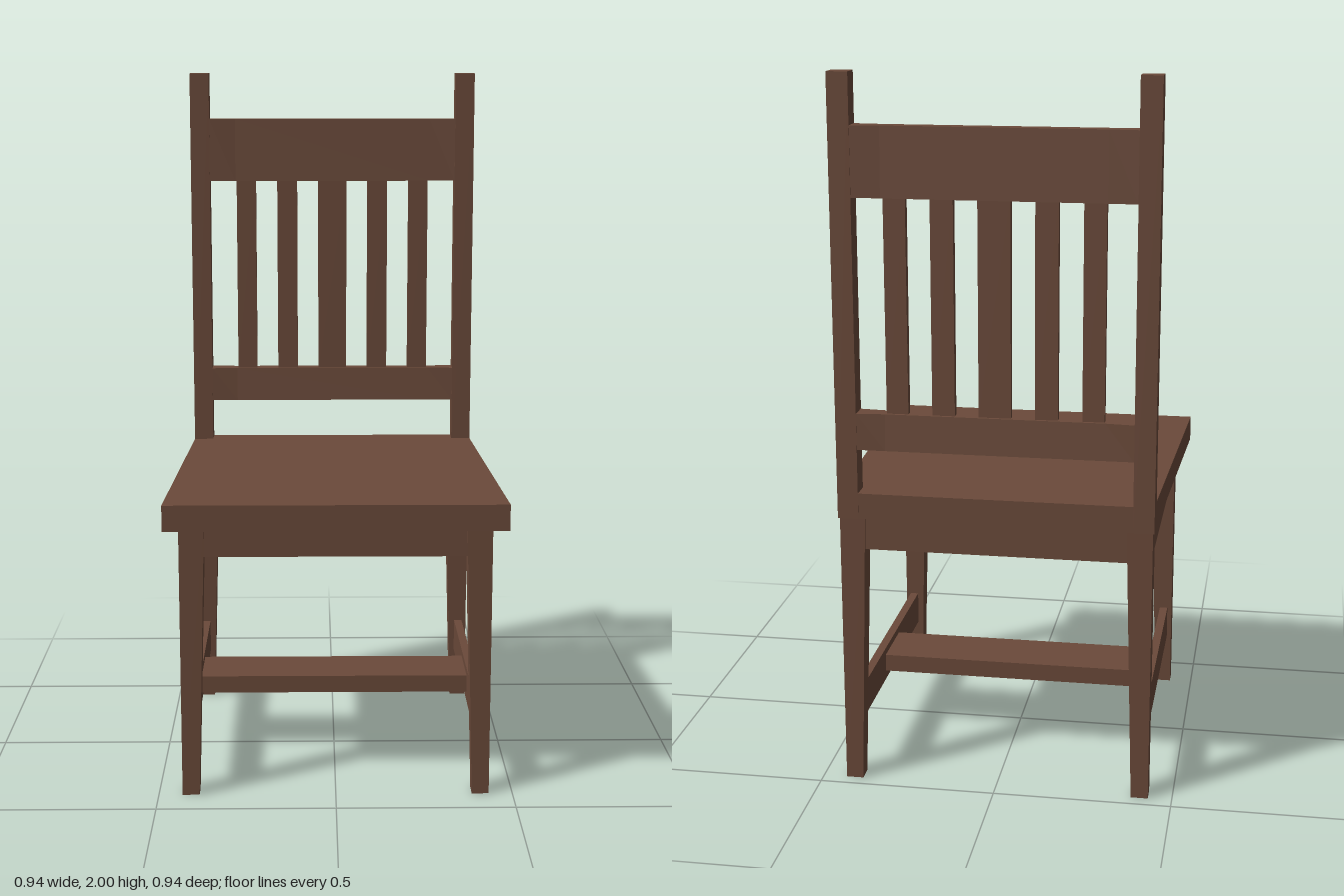
import * as THREE from 'three';

export function createModel() {
  const chair = new THREE.Group();
  chair.name = 'chair';
  const wood = new THREE.MeshStandardMaterial({ color: 0x6b4a3a });
  wood.name = 'brown wood';

  const add = (name, geometry) => {
    const mesh = new THREE.Mesh(geometry, wood);
    mesh.name = name;
    chair.add(mesh);
    return mesh;
  };

  // Box given by its limits on each axis
  const box = (name, x0, x1, y0, y1, z0, z1) => {
    const g = new THREE.BoxGeometry(x1 - x0, y1 - y0, z1 - z0);
    g.translate((x0 + x1) / 2, (y0 + y1) / 2, (z0 + z1) / 2);
    return add(name, g);
  };

  // Flat board from a plan outline of [x, z] points
  const board = (name, outline, y0, y1) => {
    const shape = new THREE.Shape(outline.map(([x, z]) => new THREE.Vector2(x, z)));
    const g = new THREE.ExtrudeGeometry(shape, { depth: y1 - y0, bevelEnabled: false });
    g.rotateX(Math.PI / 2);
    g.translate(0, y1, 0);
    return add(name, g);
  };

  // Leg with straight outer faces and inner faces that taper towards the floor
  const seatBottom = 0.785;
  const leg = (name, side, zOuter, zTop, zFoot) => {
    const g = new THREE.BoxGeometry(1, seatBottom, 1);
    g.translate(0, seatBottom / 2, 0);
    const p = g.attributes.position;
    for (let i = 0; i < p.count; i++) {
      const t = p.getY(i) / seatBottom;
      const xInner = THREE.MathUtils.lerp(0.385, 0.362, t);
      const zInner = THREE.MathUtils.lerp(zFoot, zTop, t);
      const outerX = p.getX(i) * side > 0;
      const outerZ = p.getZ(i) * zOuter > 0;
      p.setX(i, side * (outerX ? 0.433 : xInner));
      p.setZ(i, outerZ ? zOuter : zInner);
    }
    g.computeVertexNormals();
    add(name, g);
  };

  // Tapered seat, notched around the back posts
  board('seat', [
    [-0.472, 0.469], [0.472, 0.469], [0.437, -0.411], [0.379, -0.411],
    [0.379, -0.467], [-0.379, -0.467], [-0.379, -0.411], [-0.437, -0.411],
  ], seatBottom, 0.858);

  // Legs, back posts, side aprons and side stretchers
  for (const s of [-1, 1]) {
    const label = s > 0 ? 'left' : 'right';
    const span = (a, b) => (s > 0 ? [a, b] : [-b, -a]);
    leg(label + 'FrontLeg', s, 0.402, 0.337, 0.355);
    leg(label + 'BackLeg', s, -0.463, -0.396, -0.415);
    box(label + 'BackPost', ...span(0.379, 0.437), seatBottom, 2, -0.469, -0.411);
    box(label + 'Apron', ...span(0.402, 0.427), 0.694, seatBottom, -0.41, 0.35);
    box(label + 'Stretcher', ...span(0.396, 0.42), 0.155, 0.253, -0.425, 0.37);
  }

  // Front and back aprons, and the flat cross stretcher
  box('frontApron', -0.375, 0.375, 0.694, seatBottom, 0.371, 0.396);
  box('backApron', -0.375, 0.375, 0.694, seatBottom, -0.457, -0.432);
  box('crossStretcher', -0.398, 0.398, 0.181, 0.232, -0.115, 0.065);

  // Back rails: full thickness below, slightly hollowed along the upper edge
  const rail = (name, y0, y1) => {
    const g = board(name, [
      [-0.379, -0.413], [-0.3, -0.42], [0.3, -0.42], [0.379, -0.413],
      [0.379, -0.467], [0.3, -0.46], [-0.3, -0.46], [-0.379, -0.467],
    ], y0, y1).geometry;
    const p = g.attributes.position;
    for (let i = 0; i < p.count; i++) {
      if (p.getY(i) < (y0 + y1) / 2) p.setZ(i, p.getZ(i) > -0.44 ? -0.413 : -0.467);
    }
    g.computeVertexNormals();
  };
  rail('topRail', 1.673, 1.862);
  rail('lowerRail', 0.983, 1.085);

  // Upright slats, the middle one wider
  for (const [x, w] of [[-0.267, 0.06], [-0.14, 0.062], [0, 0.088], [0.14, 0.062], [0.267, 0.06]]) {
    box('backSlat', x - w / 2, x + w / 2, 1.08, 1.68, -0.451, -0.429);
  }

  return chair;
}
